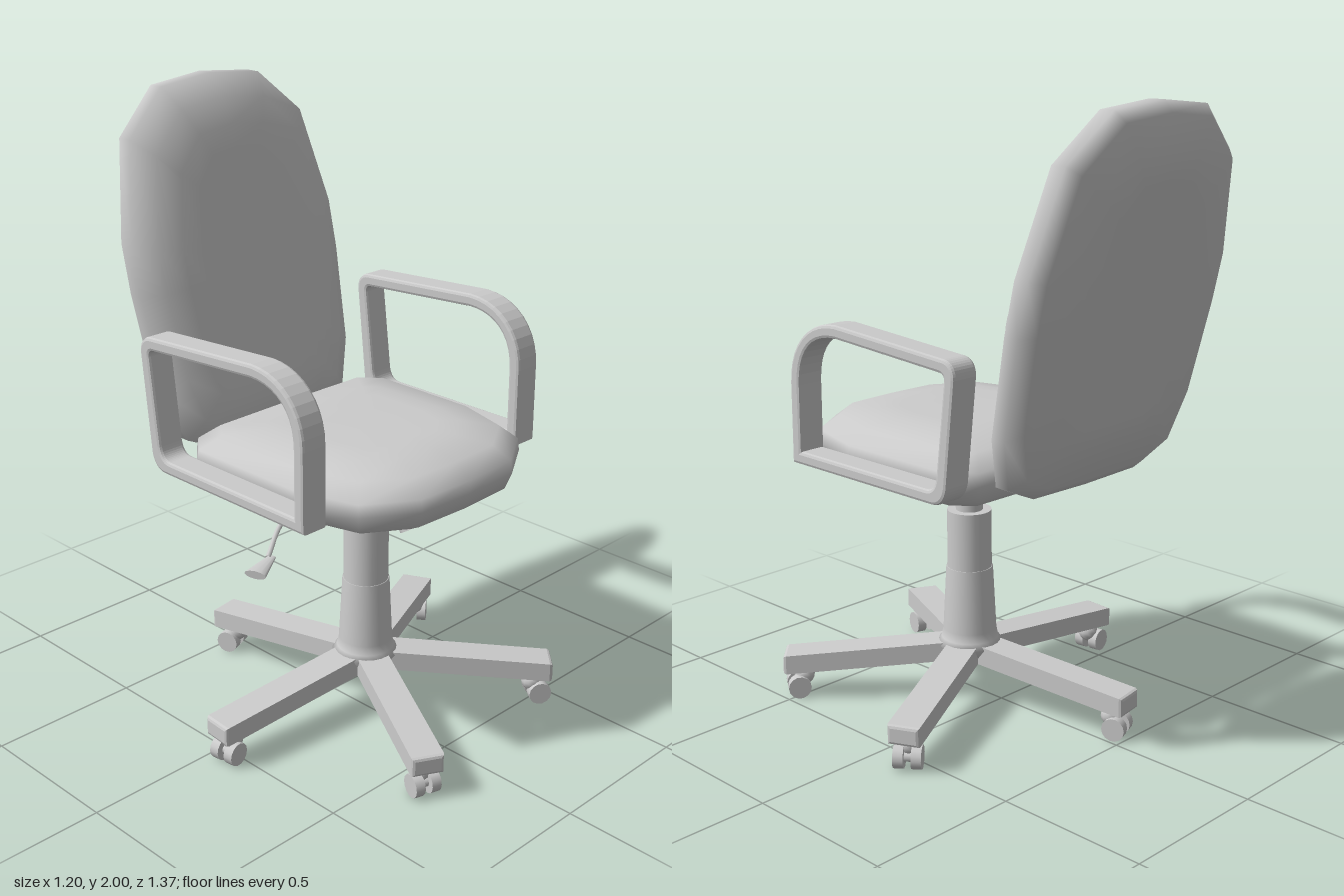
import * as THREE from 'three';

const CX = 0.037, CZ = 0.11; // column axis
const material = new THREE.MeshStandardMaterial({ color: 0xcccccc, side: THREE.DoubleSide });

function add(parent, name, geometry, x = 0, y = 0, z = 0) {
  const mesh = new THREE.Mesh(geometry, material);
  mesh.name = name;
  mesh.position.set(x, y, z);
  parent.add(mesh);
  return mesh;
}

// Padded cushion: a mirrored half outline (u, v) stacked in rings of [depth, inset]
function cushion(half, rings, place) {
  const outline = [...half, ...half.slice(1, -1).reverse().map(([u, v]) => [-u, v])];
  const n = outline.length;
  const hu = Math.max(...half.map(p => p[0])), hv = Math.max(...half.map(p => Math.abs(p[1])));
  const pos = [], index = [];
  for (const [d, inset] of rings)
    for (const [u, v] of outline) pos.push(...place(u * (1 - inset / hu), v * (1 - inset / hv), d));
  for (let i = 0; i < rings.length - 1; i++)
    for (let j = 0; j < n; j++) {
      const k = (j + 1) % n, a = i * n + j, b = i * n + k;
      index.push(a, b, b + n, a, b + n, a + n);
    }
  const last = (rings.length - 1) * n, bottom = rings.length * n;
  pos.push(...place(0, 0, rings[0][0]), ...place(0, 0, rings[rings.length - 1][0]));
  for (let j = 0; j < n; j++) {
    const k = (j + 1) % n;
    index.push(bottom, k, j, bottom + 1, last + j, last + k);
  }
  const g = new THREE.BufferGeometry();
  g.setAttribute('position', new THREE.Float32BufferAttribute(pos, 3));
  g.setIndex(index);
  g.computeVertexNormals();
  return g;
}

// Armrest loop in the (z, y) plane; t moves the outline inward
function armLoop(path, t) {
  const f = 0.355 - t, b = -0.345 + t, lo = 0.875 + t, r = 0.045 - t * 0.6;
  path.moveTo(f, lo);
  path.lineTo(f, 1.12);
  path.bezierCurveTo(f, 1.24, 0.27 - t * 0.6, 1.32 - t, 0.15, 1.32 - t);
  path.lineTo(b + r, 1.29 - t);
  path.quadraticCurveTo(b, 1.29 - t, b, 1.29 - t - r);
  path.lineTo(b + 0.035, lo + 0.05);
  path.quadraticCurveTo(b + 0.045, lo, b + 0.09, lo);
  path.closePath();
  return path;
}

function armGeometry() {
  const shape = armLoop(new THREE.Shape(), 0);
  shape.holes.push(armLoop(new THREE.Path(), 0.022));
  const g = new THREE.ExtrudeGeometry(shape, {
    depth: 0.075, bevelThickness: 0.01, bevelSize: 0.01, bevelSegments: 2, curveSegments: 10,
  });
  return g.translate(0, 0, -0.0375).rotateY(-Math.PI / 2); // shape x becomes z
}

// Base leg: rounded bar along +z that drops towards its tip
function legGeometry() {
  const w = 0.042, h = 0.022;
  const s = new THREE.Shape();
  s.moveTo(-w, -h).lineTo(w, -h).lineTo(w, h).lineTo(-w, h).closePath();
  const g = new THREE.ExtrudeGeometry(s, {
    depth: 0.61, bevelThickness: 0.01, bevelSize: 0.01, bevelSegments: 2,
  });
  const p = g.attributes.position;
  for (let i = 0; i < p.count; i++) p.setY(i, p.getY(i) + 0.175 - 0.085 * p.getZ(i));
  g.computeVertexNormals();
  return g;
}

// Twin-wheel caster, axle along x
function caster() {
  const group = new THREE.Group();
  group.name = 'caster';
  for (const side of [-1, 1])
    add(group, 'wheel', new THREE.CylinderGeometry(0.038, 0.038, 0.032, 14).rotateZ(Math.PI / 2), side * 0.028, 0.038, 0);
  add(group, 'axle', new THREE.CylinderGeometry(0.016, 0.016, 0.05, 10).rotateZ(Math.PI / 2), 0, 0.038, 0);
  add(group, 'hood', new THREE.SphereGeometry(0.034, 12, 8), 0, 0.07, -0.02);
  add(group, 'stem', new THREE.CylinderGeometry(0.016, 0.016, 0.06, 10), 0, 0.09, -0.02);
  return group;
}

export function createModel() {
  const chair = new THREE.Group();
  chair.name = 'officeChair';

  // Seat and backrest
  const seatHalf = [[0, -0.417], [0.205, -0.408], [0.365, -0.305], [0.427, -0.09], [0.427, 0.34], [0.36, 0.42], [0, 0.425]];
  const seatRings = [[0.795, 0.11], [0.8, 0.08], [0.835, 0.02], [0.89, 0], [0.93, 0.005], [0.975, 0.06], [0.995, 0.17], [1.0, 0.24]];
  add(chair, 'seat', cushion(seatHalf, seatRings, (u, v, d) => [u, d, -v]), CX, 0, 0.125);

  const backHalf = [[0, -0.58], [0.23, -0.575], [0.35, -0.52], [0.405, -0.36], [0.428, -0.05], [0.428, 0.11],
    [0.362, 0.42], [0.205, 0.56], [0, 0.58]];
  const backRings = [[-0.097, 0.22], [-0.092, 0.15], [-0.06, 0.035], [-0.02, 0], [0.03, 0], [0.075, 0.07], [0.095, 0.15], [0.098, 0.22]];
  add(chair, 'backrest', cushion(backHalf, backRings, (u, v, d) => [u, v, d - 0.23 * v]), CX, 1.42, -0.5);

  // Armrests
  const arm = armGeometry();
  add(chair, 'leftArmrest', arm, CX + 0.475, 0, 0);
  add(chair, 'rightArmrest', arm, CX - 0.475, 0, 0);

  // Column: flared foot, sleeve and gas piston
  const profile = [[0, 0.13], [0.07, 0.13], [0.11, 0.19], [0.094, 0.21], [0.088, 0.24], [0.077, 0.455], [0.073, 0.455]];
  const foot = new THREE.LatheGeometry(profile.map(p => new THREE.Vector2(...p)), 24);
  add(chair, 'columnFoot', foot, CX, 0, CZ);
  add(chair, 'columnSleeve', new THREE.CylinderGeometry(0.073, 0.073, 0.21, 24), CX, 0.545, CZ);
  add(chair, 'piston', new THREE.CylinderGeometry(0.045, 0.045, 0.13, 20), CX, 0.7, CZ);

  // Mechanism under the seat
  const plate = new THREE.CylinderGeometry(0.125 * Math.SQRT2, 0.075 * Math.SQRT2, 0.05, 4, 1).rotateY(Math.PI / 4);
  add(chair, 'seatPlate', plate.toNonIndexed(), CX, 0.77, CZ).geometry.computeVertexNormals();
  const knob = add(chair, 'tensionKnob', new THREE.CylinderGeometry(0.034, 0.034, 0.1, 16), CX, 0.732, 0.275);
  knob.rotation.x = -0.57;

  // Height lever with flat paddle
  const leverPath = new THREE.CatmullRomCurve3([[0, 0.775, 0.06], [-0.1, 0.772, 0.03], [-0.27, 0.738, 0.05], [-0.42, 0.695, 0.14]]
    .map(p => new THREE.Vector3(...p)));
  add(chair, 'lever', new THREE.TubeGeometry(leverPath, 20, 0.008, 8));
  const paddle = add(chair, 'leverPaddle',
    new THREE.CylinderGeometry(0.036, 0.013, 0.11, 12).scale(0.38, 1, 1).rotateZ(Math.PI / 2), -0.455, 0.687, 0.16);
  paddle.rotation.set(0, 0.35, 0.1);

  // Five-legged base with casters
  const leg = legGeometry();
  for (const degrees of [118, 45, -26, -99, 184]) {
    const spoke = new THREE.Group();
    spoke.name = 'baseLeg';
    spoke.position.set(CX, 0, CZ);
    spoke.rotation.y = Math.PI / 2 - THREE.MathUtils.degToRad(degrees);
    add(spoke, 'leg', leg);
    const wheels = caster();
    wheels.position.z = 0.575;
    wheels.rotation.y = 0.2;
    spoke.add(wheels);
    chair.add(spoke);
  }
  return chair;
}
